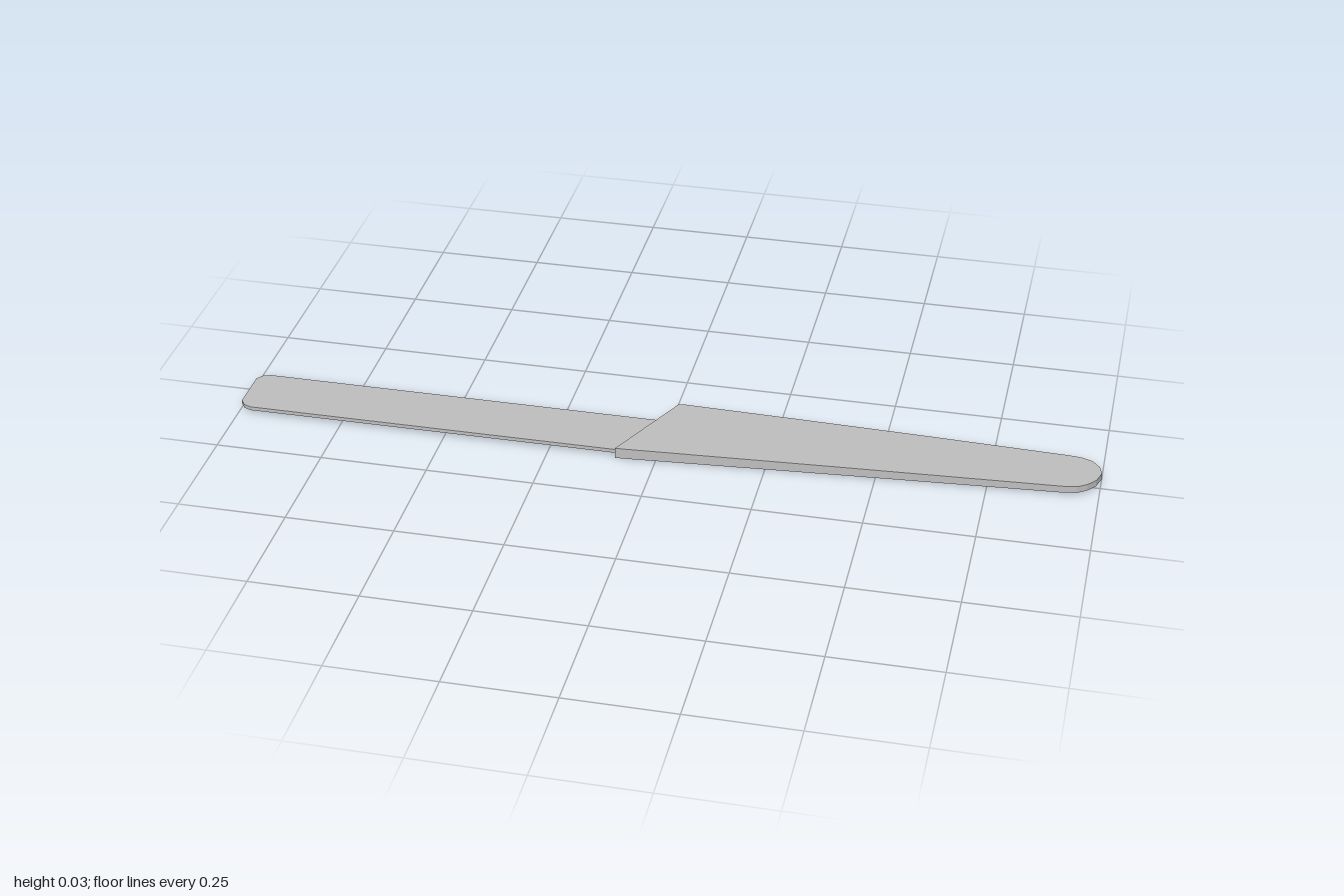
import * as THREE from 'three';

const MID = 0.013; // height of the central plane

// Plate from an outline of [x, z] points; half(x) gives half the thickness at x
function plate(points, half) {
  const shape = new THREE.Shape(points.map(([x, z]) => new THREE.Vector2(x, -z)));
  const geo = new THREE.ExtrudeGeometry(shape, { depth: 2, bevelEnabled: false });
  geo.translate(0, 0, -1);
  geo.rotateX(-Math.PI / 2);
  const p = geo.attributes.position;
  for (let i = 0; i < p.count; i++) p.setY(i, MID + p.getY(i) * half(p.getX(i)));
  geo.computeVertexNormals();
  return geo;
}

export function createModel() {
  const group = new THREE.Group();
  const steel = new THREE.MeshStandardMaterial({ color: 0xc0c0c0 });
  steel.name = 'steel grey';

  // Thin flat blade with clipped round corners, running into the handle
  const blade = new THREE.Mesh(plate([
    [-0.97, 0.102], [0, 0.1], [0.02, -0.044], [-0.97, -0.045],
    [-0.988, -0.039], [-1, -0.022], [-1, 0.078], [-0.988, 0.095],
  ], () => 0.0045), steel);
  blade.name = 'blade';

  // Thick handle with a slanted front end, thinning toward its rounded end
  const handle = new THREE.Mesh(plate([
    [-0.093, 0.108], [-0.07, 0.107], [0.4, 0.075], [0.92, 0.041], [0.95, 0.036],
    [0.972, 0.022], [0.99, 0], [1, -0.03], [0.993, -0.056], [0.975, -0.077],
    [0.95, -0.087], [0.92, -0.09], [0.6, -0.1], [0.3, -0.107],
    [0.02, -0.112], [0.008, -0.108],
  ], x => 0.013 - 0.005 * (x + 0.093) / 1.093), steel);
  handle.name = 'handle';

  group.add(blade, handle);
  return group;
}
